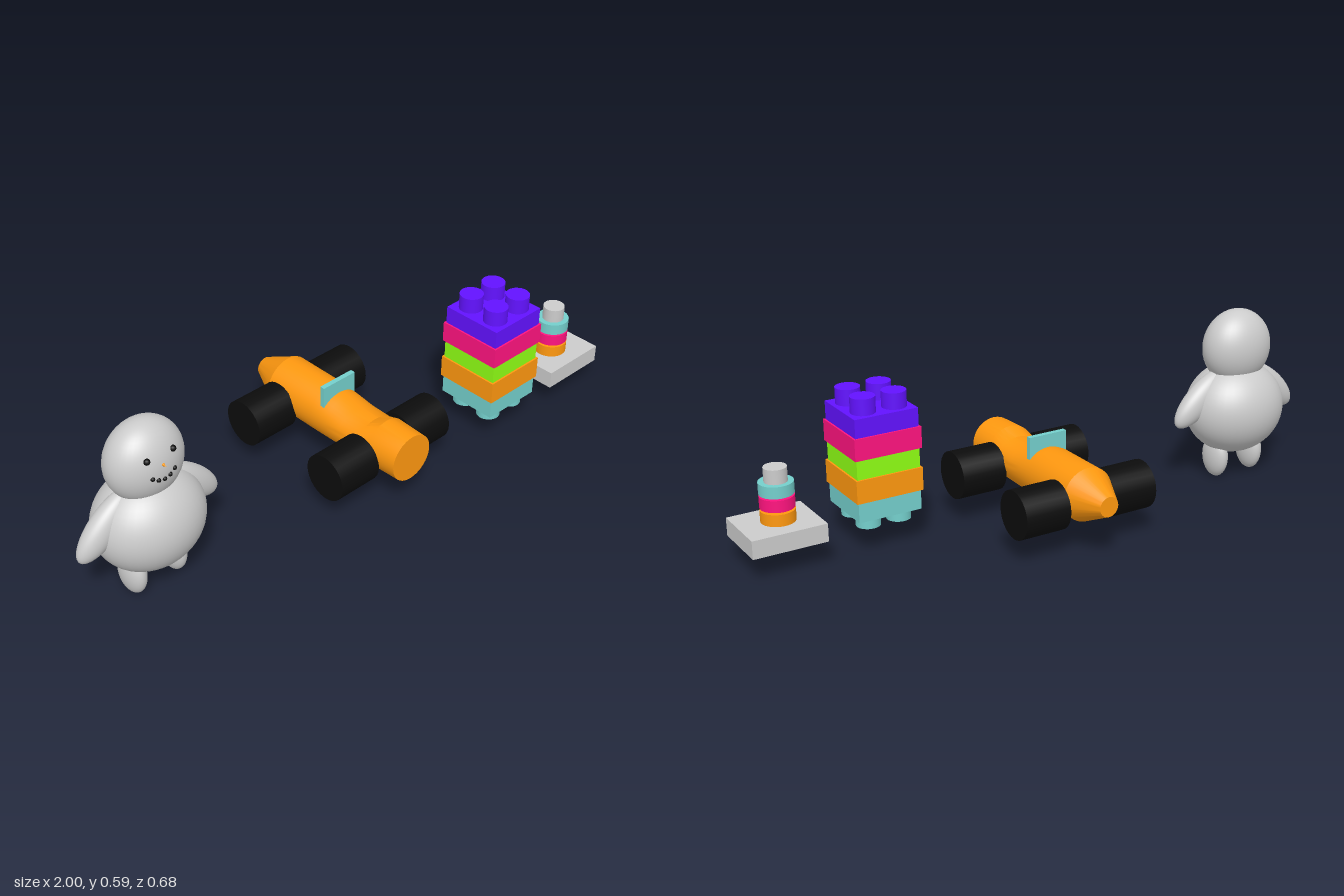
import * as THREE from 'three';
import { toCreasedNormals } from 'three/addons/utils/BufferGeometryUtils.js';

const material = (color) => new THREE.MeshStandardMaterial({ color });
const GREY = material(0xcccccc);
const ORANGE = material(0xff980f);
const TEAL = material(0x74cfcc);
const GREEN = material(0x8fff14);
const MAGENTA = material(0xff137f);
const PURPLE = material(0x6212ff);
const BLACK = material(0x0c0c0c);

function add(parent, name, geometry, mat, x, y, z) {
  const mesh = new THREE.Mesh(geometry, mat);
  mesh.name = name;
  mesh.position.set(x, y, z);
  parent.add(mesh);
  return mesh;
}

const ellipsoid = (rx, ry, rz) => new THREE.SphereGeometry(1, 40, 28).scale(rx, ry, rz);

// Rounded figure with a smiling face
function createFigure() {
  const g = new THREE.Group();
  g.name = 'figure';
  g.position.set(-0.75, 0, 0.055);

  add(g, 'body', ellipsoid(0.179, 0.16, 0.15), GREY, 0, 0.243, 0);
  const headY = 0.457, head = [0.126, 0.13, 0.096];
  add(g, 'head', ellipsoid(...head), GREY, 0, headY, 0);

  // Place a facial feature on the head's surface
  const onFace = (name, x, y, geometry, mat) => {
    const z = head[2] * Math.sqrt(1 - (x / head[0]) ** 2 - ((y - headY) / head[1]) ** 2);
    add(g, name, geometry, mat, x, y, z);
  };
  for (const s of [-1, 1]) {
    add(g, 'arm', ellipsoid(0.13, 0.052, 0.041), GREY, s * 0.146, 0.295, 0).rotation.z = -s * 0.7;
    add(g, 'leg', ellipsoid(0.034, 0.074, 0.057), GREY, s * 0.074, 0.074, 0);
    onFace('eye', s * 0.045, 0.51, new THREE.SphereGeometry(0.01, 10, 8), BLACK);
  }
  onFace('nose', 0, 0.484, new THREE.ConeGeometry(0.009, 0.025, 12).rotateX(Math.PI / 2), ORANGE);
  for (const x of [-0.038, -0.02, 0, 0.02, 0.038]) {
    onFace('mouthDot', x, 0.436 + 11 * x * x, new THREE.SphereGeometry(0.007, 10, 8), BLACK);
  }
  return g;
}

// Racing car: turned hull with a scooped cockpit, windscreen and four wheels
function createCar() {
  const g = new THREE.Group();
  g.name = 'car';
  g.position.set(0.042, 0, 0);

  // z, radius, height factor of the upper half
  const stations = [
    [-0.34, 0, 1], [-0.34, 0.0325, 1], [-0.225, 0.0875, 1], [-0.025, 0.0875, 1],
    [0.04, 0.0865, 0.87], [0.1, 0.0855, 0.73], [0.18, 0.084, 0.73], [0.23, 0.083, 1],
    [0.34, 0.0795, 1], [0.34, 0, 1],
  ];
  const hull = new THREE.LatheGeometry(stations.map(([z, r]) => new THREE.Vector2(r, z)), 40);
  hull.rotateX(Math.PI / 2);
  const p = hull.attributes.position;
  for (let i = 0; i < p.count; i++) {
    if (p.getY(i) > 0) p.setY(i, p.getY(i) * stations[i % stations.length][2]);
  }
  add(g, 'hull', toCreasedNormals(hull, 0.4), ORANGE, 0, 0.1875, 0);

  add(g, 'windscreen', new THREE.BoxGeometry(0.134, 0.08, 0.017), TEAL, 0, 0.273, 0.01);

  const wheel = new THREE.CylinderGeometry(0.0785, 0.0785, 0.155, 28).rotateZ(Math.PI / 2);
  for (const s of [-1, 1]) {
    for (const z of [0.202, -0.178]) add(g, 'wheel', wheel, BLACK, s * 0.158, 0.157, z);
  }
  return g;
}

// Tower of stacked blocks with studs above and below
function createTower() {
  const g = new THREE.Group();
  g.name = 'blockTower';
  g.position.set(0.55, 0, 0.204);

  // bottom, top, width, material
  const layers = [
    [0.118, 0.182, 0.211, TEAL],
    [0.182, 0.257, 0.223, ORANGE],
    [0.257, 0.32, 0.211, GREEN],
    [0.32, 0.39, 0.223, MAGENTA],
    [0.39, 0.45, 0.211, PURPLE],
  ];
  for (const [y0, y1, w, mat] of layers) {
    add(g, 'block', new THREE.BoxGeometry(w, y1 - y0, w), mat, 0, (y0 + y1) / 2, 0);
  }
  for (const [y0, y1, mat] of [[0.083, 0.118, TEAL], [0.45, 0.502, PURPLE]]) {
    const stud = new THREE.CylinderGeometry(0.039, 0.039, y1 - y0, 32);
    for (const x of [-0.052, 0.052]) {
      for (const z of [-0.052, 0.052]) add(g, 'stud', stud, mat, x, (y0 + y1) / 2, z);
    }
  }
  return g;
}

// Ring stacker: square base, post and three rings
function createStacker() {
  const g = new THREE.Group();
  g.name = 'ringStacker';
  g.position.set(0.878, 0, 0.203);

  add(g, 'base', new THREE.BoxGeometry(0.241, 0.059, 0.206), GREY, 0, 0.1125, 0);
  add(g, 'post', new THREE.CylinderGeometry(0.036, 0.036, 0.174, 32), GREY, -0.006, 0.229, 0);
  for (const [y0, y1, mat] of [[0.143, 0.181, ORANGE], [0.188, 0.226, MAGENTA], [0.232, 0.27, TEAL]]) {
    add(g, 'ring', new THREE.CylinderGeometry(0.054, 0.054, y1 - y0, 36), mat, -0.006, (y0 + y1) / 2, 0);
  }
  return g;
}

export function createModel() {
  const model = new THREE.Group();
  model.name = 'toySet';
  model.add(createFigure(), createCar(), createTower(), createStacker());
  return model;
}
